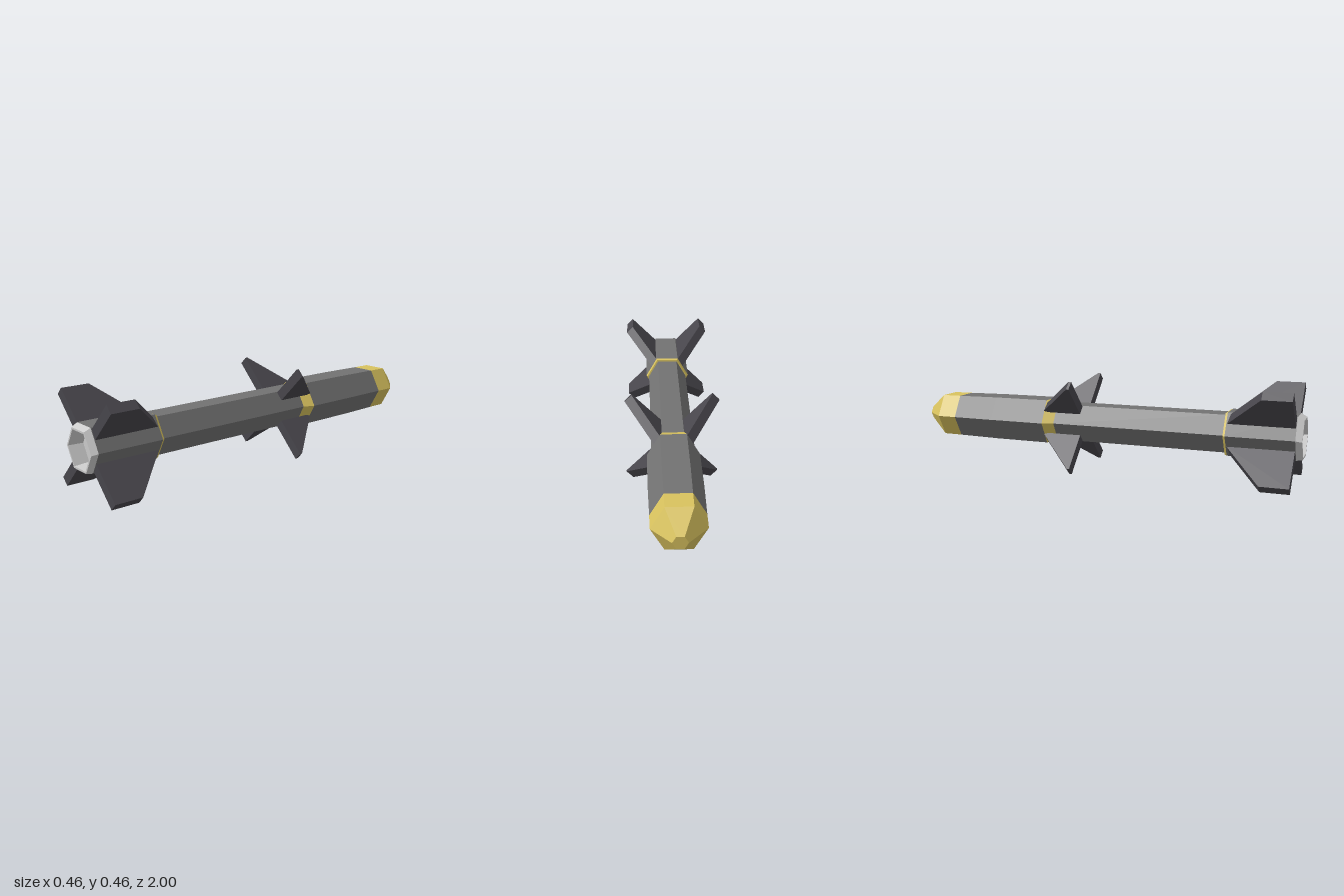
import * as THREE from 'three';

const AXIS_Y = 0.23;

export function createModel() {
  const group = new THREE.Group();
  group.name = 'missile';

  const mat = (name, color) => {
    const m = new THREE.MeshStandardMaterial({ color });
    m.name = name;
    return m;
  };
  const bodyGrey = mat('bodyGrey', 0x727272);
  const finGrey = mat('finGrey', 0x48464c);
  const yellow = mat('yellow', 0xd8c25e);
  const lightGrey = mat('lightGrey', 0xcccccc);

  const add = (name, geometry, material) => {
    const flat = geometry.index ? geometry.toNonIndexed() : geometry;
    flat.computeVertexNormals();
    const mesh = new THREE.Mesh(flat, material);
    mesh.name = name;
    mesh.position.y = AXIS_Y;
    group.add(mesh);
  };

  // Six-sided hull section along z; profile is [z, corner radius] pairs
  const hull = (profile) => {
    const pts = profile.map(([z, r]) => new THREE.Vector2(r, z));
    return new THREE.LatheGeometry(pts, 6, Math.PI / 2).rotateX(Math.PI / 2);
  };

  // Hull from nose to tail
  add('noseCone', hull([[-1, 0], [-1, 0.034], [-0.9, 0.121], [-0.8, 0.122]]), yellow);
  add('warhead', hull([[-0.8, 0.122], [-0.58, 0.126], [-0.29, 0.127]]), bodyGrey);
  add('frontCollar', hull([[-0.29, 0.127], [-0.235, 0.105]]), yellow);
  add('mainBody', hull([[-0.235, 0.105], [0.635, 0.105]]), bodyGrey);
  add('rearCollar', hull([[0.635, 0.105], [0.636, 0.114], [0.647, 0.12]]), yellow);
  add('tailSection', hull([[0.647, 0.12], [0.97, 0.118]]), bodyGrey);

  // Bevelled nozzle with a recessed floor, its rim set slightly low
  const nozzle = hull([[0.97, 0.118], [1, 0.107], [1, 0.097], [0.93, 0.089], [0.93, 0]]);
  const pos = nozzle.attributes.position;
  for (let i = 0; i < pos.count; i++) {
    if (Math.abs(pos.getZ(i) - 0.97) > 0.01) pos.setY(i, pos.getY(i) - 0.006);
  }
  add('nozzle', nozzle, lightGrey);

  // Fins: outline in [distance from axis, z], repeated on the four diagonals
  const THICK = 0.048;
  const finSet = (name, outline) => {
    const shape = new THREE.Shape(outline.map(([d, z]) => new THREE.Vector2(d, z)));
    for (let k = 0; k < 4; k++) {
      const g = new THREE.ExtrudeGeometry(shape, { depth: THICK, bevelEnabled: false });
      g.translate(0, 0, -THICK / 2).rotateX(Math.PI / 2).rotateZ(Math.PI / 4 + (k * Math.PI) / 2);
      add(name + (k + 1), g, finGrey);
    }
  };
  finSet('frontFin', [[0.1, -0.3], [0.301, -0.108], [0.301, -0.095], [0.1, -0.095]]);
  finSet('rearFin', [[0.1, 0.65], [0.301, 0.83], [0.301, 0.967], [0.1, 0.967]]);

  return group;
}
